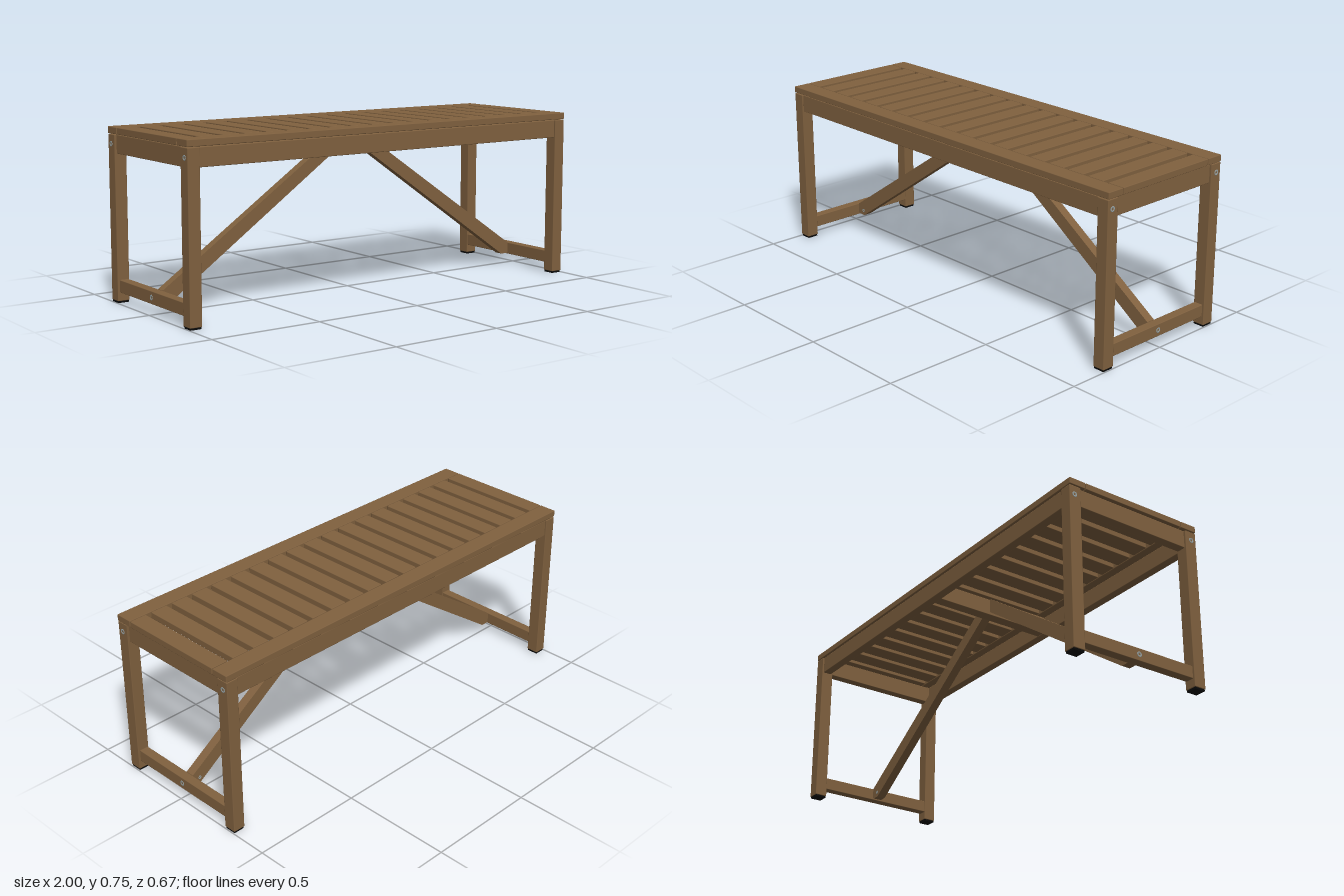
import * as THREE from 'three';
import { RoundedBoxGeometry } from 'three/addons/geometries/RoundedBoxGeometry.js';

const wood = new THREE.MeshStandardMaterial({ name: 'brown wood', color: 0x80613f });
const steel = new THREE.MeshStandardMaterial({ name: 'grey steel', color: 0x98a2a2 });
const rubber = new THREE.MeshStandardMaterial({ name: 'black rubber', color: 0x0a0a0a });

// A softened board given by its minimum and maximum on each axis
function board(name, [x0, x1], [y0, y1], [z0, z1], parent) {
  const geometry = new RoundedBoxGeometry(x1 - x0, y1 - y0, z1 - z0, 1, 0.003);
  const mesh = new THREE.Mesh(geometry, wood);
  mesh.name = name;
  mesh.position.set((x0 + x1) / 2, (y0 + y1) / 2, (z0 + z1) / 2);
  parent.add(mesh);
  return mesh;
}

// Bolt head with a hollow socket, its axis along +y before it is turned
function bolt(name, radius, position, direction, parent) {
  const profile = [[0, -0.001], [0.4, -0.001], [0.45, 0.001], [0.85, 0.0015], [1, 0.0008], [1, -0.004]]
    .map(([r, y]) => new THREE.Vector2(r * radius, y)).reverse();
  const mesh = new THREE.Mesh(new THREE.LatheGeometry(profile, 16), steel);
  mesh.material.side = THREE.DoubleSide;
  mesh.name = name;
  mesh.position.set(...position);
  mesh.quaternion.setFromUnitVectors(new THREE.Vector3(0, 1, 0), new THREE.Vector3(...direction));
  parent.add(mesh);
}

// One end: two legs, short apron, stretcher and the diagonal brace
function createEnd(name) {
  const end = new THREE.Group();
  end.name = name;

  for (const side of [-1, 1]) {
    const z = side * 0.305;
    board('leg', [0.943, 0.998], [0.008, 0.718], [z - 0.028, z + 0.028], end);
    const foot = new THREE.Mesh(new THREE.BoxGeometry(0.049, 0.01, 0.05), rubber);
    foot.name = 'footPad';
    foot.position.set(0.9705, 0.005, z);
    end.add(foot);
    bolt('legBolt', 0.012, [0.998, 0.678, side * 0.308], [1, 0, 0], end);
  }
  board('shortApron', [0.946, 0.988], [0.638, 0.718], [-0.28, 0.28], end);
  board('stretcher', [0.946, 0.988], [0.045, 0.1], [-0.28, 0.28], end);
  bolt('stretcherBolt', 0.012, [0.988, 0.073, 0], [1, 0, 0], end);

  // Diagonal brace, cut to meet the stretcher and the middle beam
  const outline = new THREE.Shape([
    [0.946, 0.1], [0.03, 0.718], [0.025, 0.718], [0.025, 0.655], [0.905, 0.05], [0.94, 0.05], [0.946, 0.056],
  ].map(([x, y]) => new THREE.Vector2(x, y)));
  const braceGeometry = new THREE.ExtrudeGeometry(outline, { depth: 0.04, bevelEnabled: false });
  braceGeometry.translate(0, 0, -0.02);
  const brace = new THREE.Mesh(braceGeometry, wood);
  brace.name = 'diagonalBrace';
  end.add(brace);
  bolt('braceScrew', 0.008, [0.91, 0.073, -0.02], [0, 0, -1], end);
  return end;
}

export function createModel() {
  const bench = new THREE.Group();
  bench.name = 'bench';

  // Seat: two long rails with cross slats between them
  const seat = new THREE.Group();
  seat.name = 'seat';
  bench.add(seat);
  for (const side of [-1, 1]) {
    const z = side * 0.293;
    board('seatRail', [-1, 1], [0.721, 0.75], [z - 0.04, z + 0.04], seat);
  }
  const slatCount = 19;
  for (let i = 0; i < slatCount; i++) {
    const x = -0.96 + (i * 1.92) / (slatCount - 1);
    board('seatSlat', [x - 0.04, x + 0.04], [0.721, 0.75], [-0.25, 0.25], seat);
  }

  // Long aprons and the beam across the middle
  for (const side of [-1, 1]) {
    const z = side * 0.307;
    board('longApron', [-0.944, 0.944], [0.638, 0.718], [z - 0.02, z + 0.02], bench);
  }
  board('middleBeam', [-0.026, 0.026], [0.641, 0.718], [-0.29, 0.29], bench);

  // The two ends are the same, turned half round
  const leftEnd = createEnd('leftEnd');
  const rightEnd = createEnd('rightEnd');
  rightEnd.rotation.y = Math.PI;
  bench.add(leftEnd, rightEnd);
  return bench;
}
